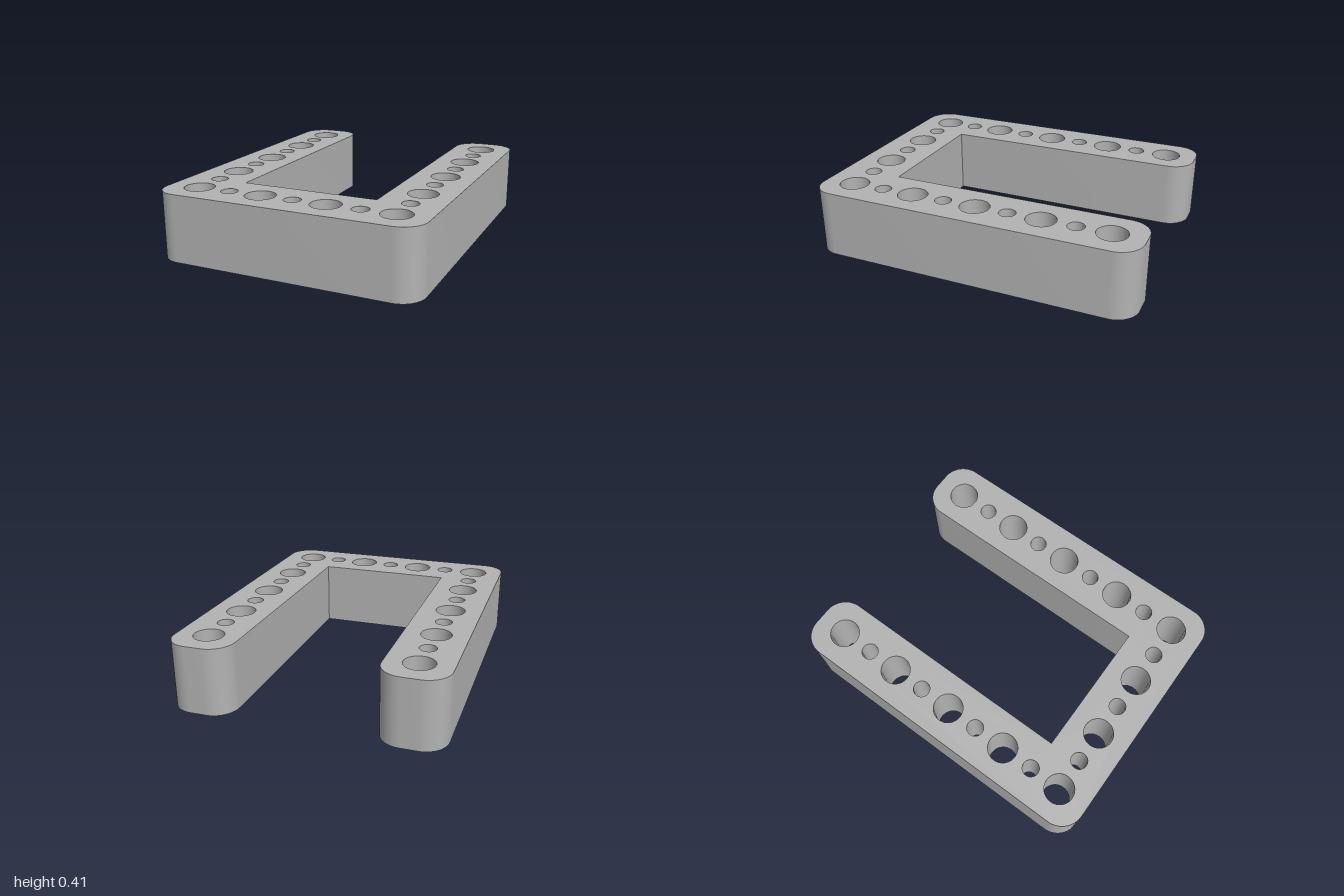
import * as THREE from 'three';
import { toCreasedNormals } from 'three/addons/utils/BufferGeometryUtils.js';

const HEIGHT = 0.405;
const HALF_W = 0.797, HALF_L = 1;   // outer half sizes
const BEAM = 0.38;                  // beam width
const RADIUS = 0.14;                // rounded corners
const PITCH = 0.2025;               // distance between neighbouring holes
const BIG = 0.089, SMALL = 0.05;    // hole radii

// U-shaped outline; shape y is -z, so the closed end lies at negative y
function outline() {
  const ix = HALF_W - BEAM, iy = BEAM - HALF_L, r = RADIUS, q = Math.PI / 2;
  const s = new THREE.Shape();
  const corner = (x, y, start) => s.absarc(x, y, r, start, start + q, false);
  s.moveTo(-HALF_W + r, -HALF_L);
  corner(HALF_W - r, -HALF_L + r, -q);
  corner(HALF_W - r, HALF_L - r, 0);
  corner(ix + r, HALF_L - r, q);
  s.lineTo(ix, iy);
  s.lineTo(-ix, iy);
  corner(-ix - r, HALF_L - r, 0);
  corner(-HALF_W + r, HALF_L - r, q);
  corner(-HALF_W + r, -HALF_L + r, 2 * q);
  s.closePath();
  return s;
}

function addHole(shape, x, y, radius) {
  const hole = new THREE.Path();
  hole.absarc(x, y, radius, 0, Math.PI * 2, true);
  shape.holes.push(hole);
}

export function createModel() {
  const grey = new THREE.MeshStandardMaterial({ color: 0xb2b2b2 });
  grey.name = 'light grey';

  const shape = outline();
  // alternating large and small holes along both arms
  for (const side of [-1, 1]) {
    for (let i = -4; i <= 4; i++) {
      addHole(shape, side * 3 * PITCH, i * PITCH, i % 2 === 0 ? BIG : SMALL);
    }
  }
  // holes along the crossbar, between the corners
  for (let i = -2; i <= 2; i++) {
    addHole(shape, i * PITCH, -4 * PITCH, i % 2 === 0 ? SMALL : BIG);
  }

  const extruded = new THREE.ExtrudeGeometry(shape, {
    depth: HEIGHT, bevelEnabled: false, curveSegments: 18,
  });
  extruded.rotateX(-Math.PI / 2);

  const frame = new THREE.Mesh(toCreasedNormals(extruded, Math.PI / 6), grey);
  frame.name = 'perforatedUFrame';

  const group = new THREE.Group();
  group.name = 'uShapedBeam';
  group.add(frame);
  return group;
}
